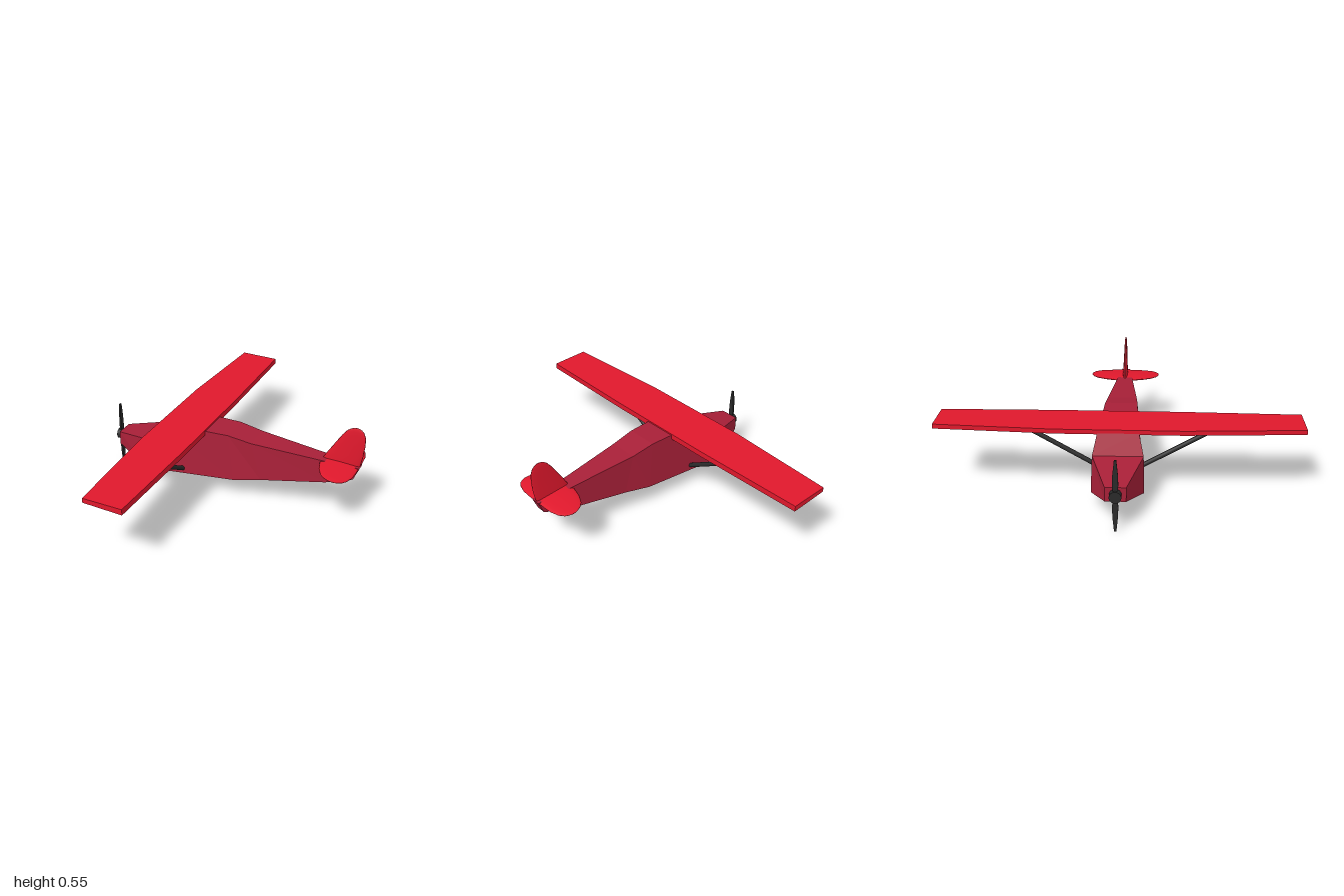
import * as THREE from 'three';

const mat = (color, flatShading = false) => new THREE.MeshStandardMaterial({ color, flatShading });

// Skin a closed solid over rings of [x, y, z] points
function loft(rings) {
  const n = rings[0].length, last = (rings.length - 1) * n, index = [];
  for (let i = 0; i < rings.length - 1; i++) {
    for (let j = 0; j < n; j++) {
      const a = i * n + j, b = i * n + (j + 1) % n;
      index.push(a, b, b + n, a, b + n, a + n);
    }
  }
  for (let j = 1; j < n - 1; j++) {
    index.push(0, j + 1, j, last, last + j, last + j + 1);
  }
  const g = new THREE.BufferGeometry();
  g.setAttribute('position', new THREE.Float32BufferAttribute(rings.flat(2), 3));
  g.setIndex(index);
  g.computeVertexNormals();
  return g;
}

// Rounded surface along +z from sections [span, lead x, trail x, thickness]
function surface(sections, sides = 20) {
  return loft(sections.map(([z, lead, trail, t]) => Array.from({ length: sides }, (_, j) => {
    const a = j / sides * Math.PI * 2;
    return [(lead + trail) / 2 + Math.cos(a) * (trail - lead) / 2, Math.sin(a) * t / 2, z];
  })));
}

export function createModel() {
  const model = new THREE.Group();
  const bodyMat = mat(0xa82038, true), wingMat = mat(0xe0182c, true);
  const tailMat = mat(0xe0182c), darkMat = mat(0x2a2a2a), bladeMat = mat(0x2a2a2a, true);

  const add = (name, geometry, material, parent = model) => {
    const mesh = new THREE.Mesh(geometry, material);
    mesh.name = name;
    parent.add(mesh);
    return mesh;
  };

  // Fuselage: top x, y, half width, then bottom x, y, half width
  const frames = [
    [-0.735, 0.24, 0.055, -0.735, 0.16, 0.055],
    [-0.46, 0.28, 0.137, -0.51, 0.09, 0.142],
    [-0.41, 0.397, 0.11, -0.44, 0.094, 0.138],
    [0, 0.394, 0.092, 0.04, 0.125, 0.112],
    [0.14, 0.37, 0.084, 0.2, 0.15, 0.086],
    [0.55, 0.337, 0.045, 0.57, 0.205, 0.046],
    [0.752, 0.323, 0.026, 0.72, 0.25, 0.028],
  ];
  add('fuselage', loft(frames.map(([tx, ty, tw, bx, by, bw]) =>
    [[tx, ty, tw], [bx, by, bw], [bx, by, -bw], [tx, ty, -tw]])), bodyMat);

  // Wing: straight middle, tapered outer panels
  const ribs = [[-1, -0.375, -0.15], [-0.35, -0.413, -0.138], [0.35, -0.413, -0.138], [1, -0.375, -0.15]];
  add('wing', loft(ribs.map(([z, lead, trail]) =>
    [[trail, 0.403, z], [lead, 0.41, z], [lead, 0.384, z], [trail, 0.37, z]])), wingMat);

  // Wing struts
  for (const s of [1, -1]) {
    const from = new THREE.Vector3(-0.275, 0.135, s * 0.125);
    const to = new THREE.Vector3(-0.275, 0.382, s * 0.55);
    const dir = to.clone().sub(from);
    const strut = add(s > 0 ? 'leftStrut' : 'rightStrut',
      new THREE.CylinderGeometry(0.013, 0.013, dir.length(), 16), darkMat);
    strut.position.copy(from).add(to).multiplyScalar(0.5);
    strut.quaternion.setFromUnitVectors(new THREE.Vector3(0, 1, 0), dir.normalize());
  }

  // Tail fin, grown along z and turned upright
  const fin = add('tailFin', surface([
    [0.31, 0.53, 0.742, 0.03], [0.335, 0.535, 0.75, 0.03], [0.38, 0.562, 0.76, 0.026],
    [0.45, 0.606, 0.768, 0.02], [0.5, 0.638, 0.768, 0.016], [0.53, 0.662, 0.757, 0.012],
    [0.545, 0.682, 0.743, 0.008], [0.552, 0.702, 0.726, 0.004],
  ]), tailMat);
  fin.rotation.x = -Math.PI / 2;

  // Tailplane, mirrored about the centre
  const half = [
    [0, -0.107, 0.105, 0.03], [0.06, -0.105, 0.105, 0.028], [0.12, -0.088, 0.102, 0.022],
    [0.17, -0.062, 0.088, 0.016], [0.195, -0.035, 0.07, 0.011], [0.207, -0.01, 0.05, 0.007],
    [0.212, 0.008, 0.034, 0.003],
  ];
  const mirrored = half.slice(1).reverse().map(([z, ...rest]) => [-z, ...rest]);
  const tailplane = add('tailplane', surface([...mirrored, ...half]), tailMat);
  tailplane.position.set(0.64, 0.322, 0);
  tailplane.rotation.z = -0.06;

  // Propeller: hub and two tapered blades
  const propeller = new THREE.Group();
  propeller.name = 'propeller';
  propeller.position.set(-0.7525, 0.2, 0);
  model.add(propeller);
  const hub = add('hub', new THREE.CylinderGeometry(0.032, 0.032, 0.035, 24), bladeMat, propeller);
  hub.rotation.z = Math.PI / 2;
  const bladeRibs = [[0, 0.01], [0.06, 0.016], [0.12, 0.014], [0.2, 0.006]];
  for (const s of [1, -1]) {
    const blade = add(s > 0 ? 'upperBlade' : 'lowerBlade', loft(bladeRibs.map(([z, w]) =>
      [[0.005, w, z], [-0.005, w, z], [-0.005, -w, z], [0.005, -w, z]])), bladeMat, propeller);
    blade.rotation.x = -s * Math.PI / 2;
  }
  return model;
}
